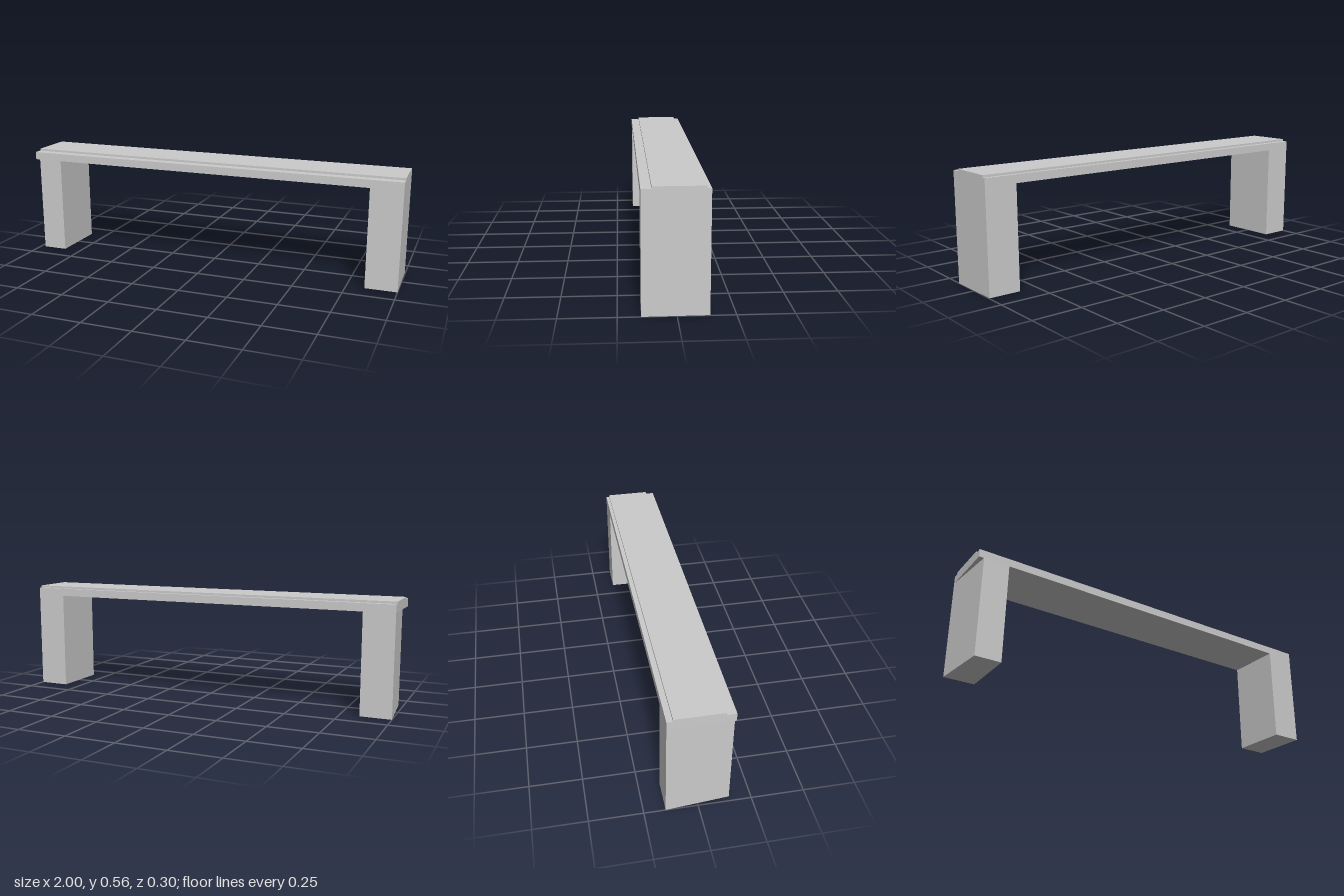
import * as THREE from 'three';

const FRONT = 0.15;
// the back face runs very slightly askew from end to end
const backAt = (x) => -0.1445 + 0.0055 * x;

export function createModel() {
  const group = new THREE.Group();
  const material = new THREE.MeshStandardMaterial({ color: 0xcccccc, flatShading: true });

  // upright prism over a footprint of [x, z] corners
  function prism(name, footprint, bottom, top) {
    const shape = new THREE.Shape(footprint.map(([x, z]) => new THREE.Vector2(x, -z)));
    const geometry = new THREE.ExtrudeGeometry(shape, { depth: top - bottom, bevelEnabled: false });
    geometry.rotateX(-Math.PI / 2).translate(0, bottom, 0);
    const mesh = new THREE.Mesh(geometry, material);
    mesh.name = name;
    group.add(mesh);
  }

  // legs: the outer face of the right one is angled in under the beam
  prism('rightLeg', [[-0.975, FRONT], [-0.845, FRONT], [-0.845, backAt(-0.845)], [-1, backAt(-1)]], 0, 0.505);
  prism('leftLeg', [[0.84, FRONT], [1, FRONT], [0.997, backAt(1)], [0.84, backAt(0.84)]], 0, 0.505);

  // beam across both legs
  prism('beam', [[-1, FRONT], [1, FRONT], [0.997, backAt(1)], [-1, backAt(-1)]], 0.505, 0.545);

  // thin raised strip along the top
  prism('topPanel', [[-1, 0.105], [1, 0.105], [0.997, -0.122], [-1, -0.122]], 0.545, 0.556);

  return group;
}
